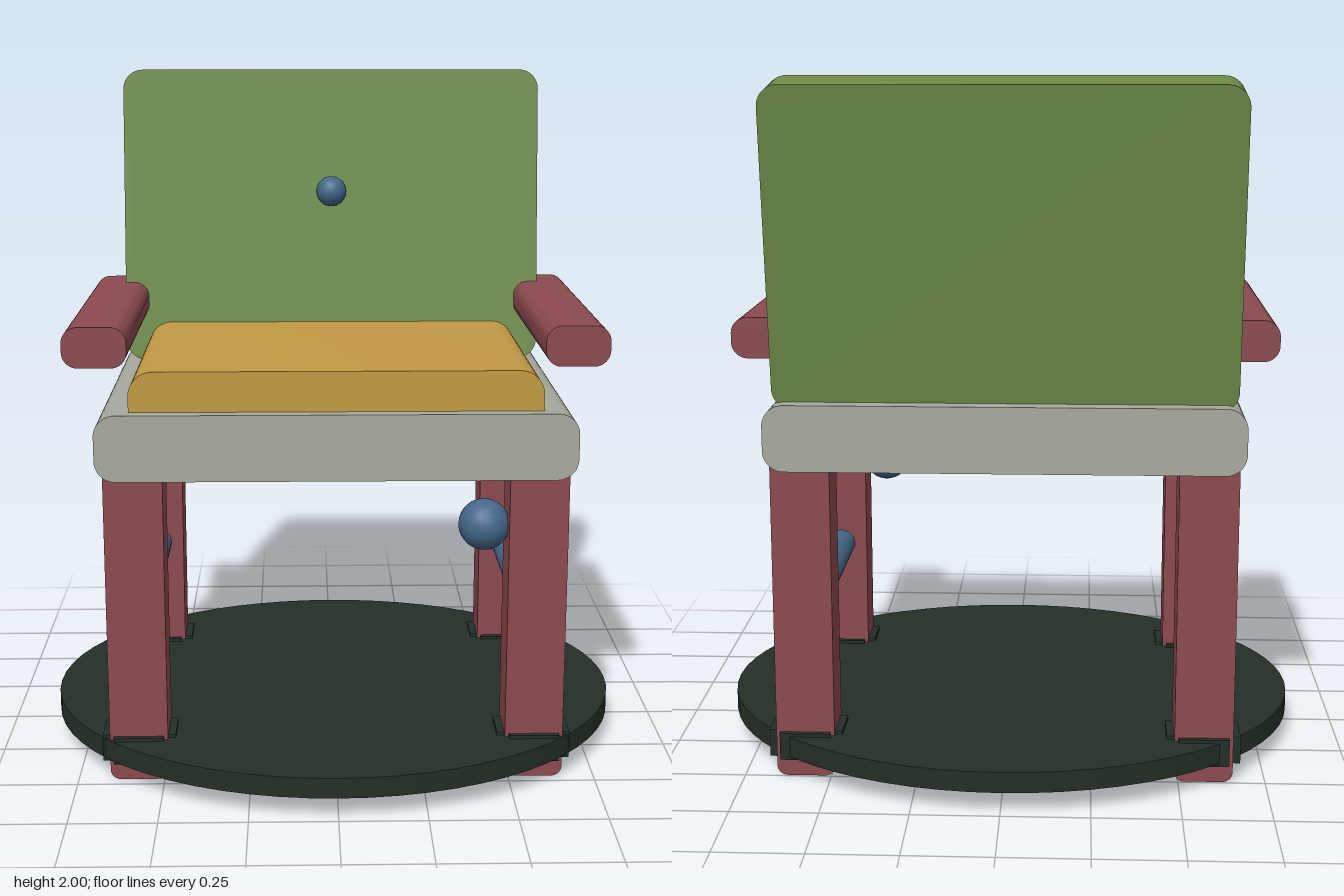
import * as THREE from 'three';
import { toCreasedNormals } from 'three/addons/utils/BufferGeometryUtils.js';

const paint = (name, color) => {
  const m = new THREE.MeshStandardMaterial({ color });
  m.name = name;
  return m;
};

// Bar with a rounded-rectangle section in xy, running along z and centred on the origin
function roundedBar(w, h, d, r) {
  const x = w / 2, y = h / 2, s = new THREE.Shape();
  s.moveTo(-x + r, -y);
  s.lineTo(x - r, -y);
  s.absarc(x - r, -y + r, r, -Math.PI / 2, 0);
  s.lineTo(x, y - r);
  s.absarc(x - r, y - r, r, 0, Math.PI / 2);
  s.lineTo(-x + r, y);
  s.absarc(-x + r, y - r, r, Math.PI / 2, Math.PI);
  s.lineTo(-x, -y + r);
  s.absarc(-x + r, -y + r, r, Math.PI, Math.PI * 1.5);
  const g = new THREE.ExtrudeGeometry(s, { depth: d, bevelEnabled: false, curveSegments: 8 });
  g.translate(0, 0, -d / 2);
  return toCreasedNormals(g, 0.6);
}

export function createModel() {
  const red = paint('red wood', 0x8c4a50);
  const green = paint('green backrest', 0x6d8a46);
  const ochre = paint('ochre cushion', 0xc29a44);
  const grey = paint('grey frame', 0xa6aa9d);
  const blue = paint('blue trim', 0x44678a);
  const dark = paint('dark base', 0x232f26);

  const group = new THREE.Group();
  group.name = 'armchair';
  const add = (name, geometry, material, x, y, z) => {
    const mesh = new THREE.Mesh(geometry, material);
    mesh.name = name;
    mesh.position.set(x, y, z);
    group.add(mesh);
    return mesh;
  };

  // Oval base plate
  add('basePlate', new THREE.CylinderGeometry(1, 1, 0.06, 64), dark, 0, 0.098, 0)
    .scale.set(0.855, 1, 0.738);

  // Seat frame and cushion
  add('seatFrame', roundedBar(1.35, 0.19, 1, 0.06), grey, 0, 1.005, 0);
  add('seatCushion', roundedBar(1.16, 0.2, 0.9, 0.07), ochre, 0, 1.115, 0.01);

  // Leaning backrest with its button
  add('backrest', roundedBar(1.306, 0.91, 0.157, 0.06), green, 0, 1.539, -0.43)
    .rotation.x = -0.138;
  add('backButton', new THREE.SphereGeometry(0.047, 24, 16), blue, 0, 1.625, -0.35);

  for (const side of [-1, 1]) {
    const name = side > 0 ? 'left' : 'right';
    add(name + 'Armrest', roundedBar(0.18, 0.115, 0.92, 0.045), red, side * 0.67, 1.283, 0);

    // Side rung between the legs
    const rung = new THREE.CylinderGeometry(0.045, 0.045, 0.72, 24);
    rung.rotateX(Math.PI / 2);
    add(name + 'Rung', rung, blue, side * 0.573, 0.47, -0.015);

    // Legs, each with a collar of two crossed blocks at the base plate
    for (const [end, z] of [['Front', 0.393], ['Back', -0.421]]) {
      const x = side * 0.573;
      add(name + end + 'Leg', roundedBar(0.168, 0.95, 0.146, 0.03), red, x, 0.48, z);
      add(name + end + 'CollarWide', new THREE.BoxGeometry(0.212, 0.08, 0.122), dark, x, 0.098, z);
      add(name + end + 'CollarDeep', new THREE.BoxGeometry(0.145, 0.08, 0.178), dark, x, 0.098, z);
    }
  }

  // Round knob on the inside of the left front leg
  add('legKnob', new THREE.SphereGeometry(0.074, 24, 16), blue, 0.425, 0.75, 0.387);

  return group;
}
